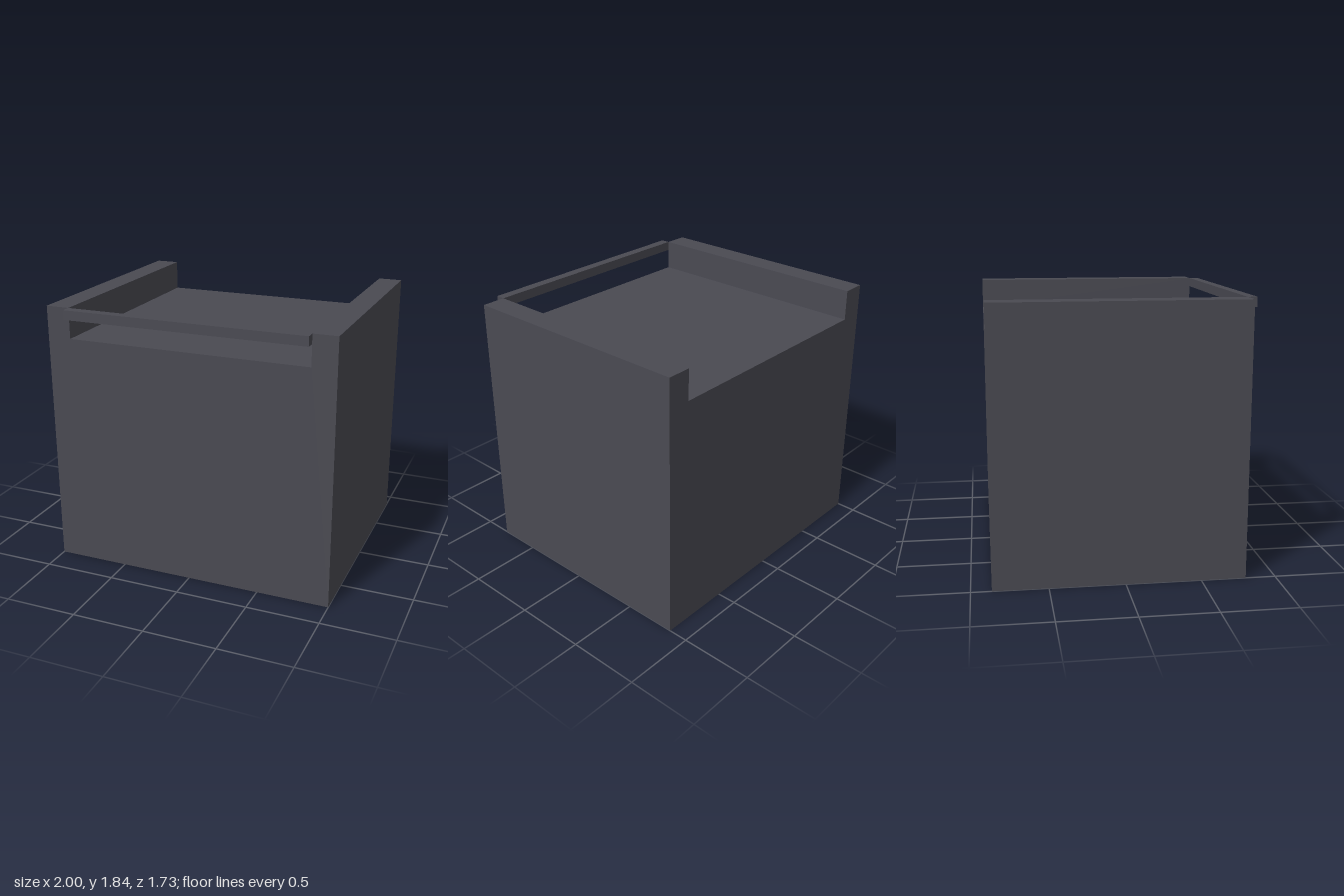
import * as THREE from 'three';

export function createModel() {
  const group = new THREE.Group();
  const charcoal = new THREE.MeshStandardMaterial({ color: 0x4a4a52 });
  charcoal.name = 'charcoal';

  const halfWidth = 1, height = 1.835;
  const slotHalf = 0.835, slotFloor = 1.625;
  const back = -0.865, front = 0.8, barSize = 0.065;

  // Block with an open channel along its top, extruded from back to front
  const profile = new THREE.Shape([
    [-halfWidth, 0], [halfWidth, 0], [halfWidth, height], [slotHalf, height],
    [slotHalf, slotFloor], [-slotHalf, slotFloor], [-slotHalf, height], [-halfWidth, height],
  ].map(([x, y]) => new THREE.Vector2(x, y)));
  const bodyGeometry = new THREE.ExtrudeGeometry(profile, { depth: front - back, bevelEnabled: false });
  bodyGeometry.translate(0, 0, back);
  const body = new THREE.Mesh(bodyGeometry, charcoal);
  body.name = 'channelledBody';
  group.add(body);

  // Thin bar across the front of the channel, level with the rims
  const bar = new THREE.Mesh(new THREE.BoxGeometry(slotHalf * 2, barSize, barSize), charcoal);
  bar.name = 'frontBar';
  bar.position.set(0, height - barSize / 2, front + barSize / 2);
  group.add(bar);

  return group;
}
